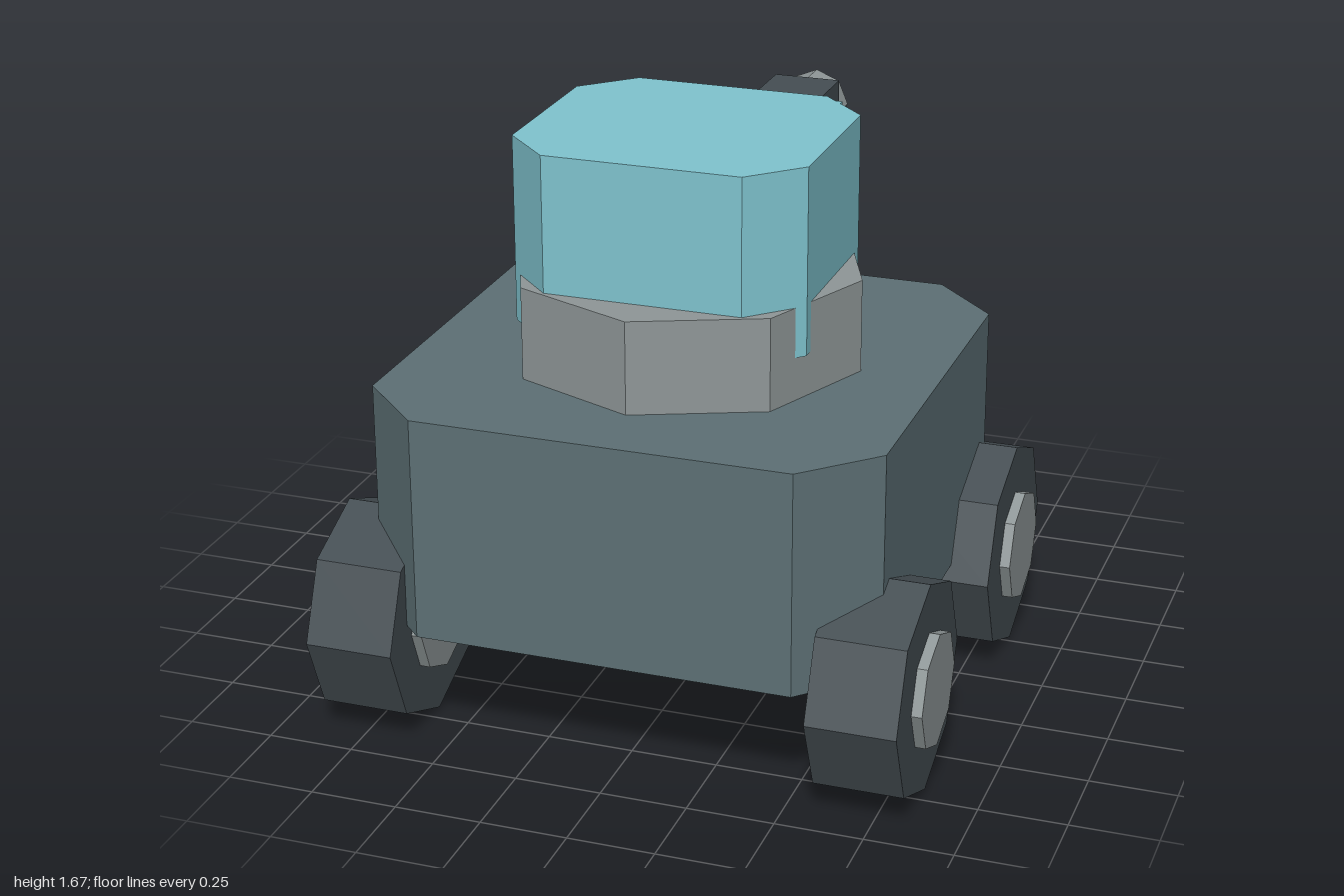
import * as THREE from 'three';

const mat = (name, color) => {
  const m = new THREE.MeshStandardMaterial({ color, flatShading: true });
  m.name = name;
  return m;
};

export function createModel() {
  const model = new THREE.Group();
  model.name = 'turretVehicle';
  const slate = mat('slate', 0x5d7075);
  const charcoal = mat('charcoal', 0x454e53);
  const grey = mat('grey', 0x8f9798);
  const blue = mat('paleBlue', 0x80c4cf);

  const add = (name, geometry, material, parent = model) => {
    const mesh = new THREE.Mesh(geometry, material);
    mesh.name = name;
    parent.add(mesh);
    return mesh;
  };

  // Box given by its lower and upper limits
  const box = (name, material, [x0, x1], [y0, y1], [z0, z1]) =>
    add(name, new THREE.BoxGeometry(x1 - x0, y1 - y0, z1 - z0), material)
      .position.set((x0 + x1) / 2, (y0 + y1) / 2, (z0 + z1) / 2);

  // Upright block with cut corners
  const cutBlock = (name, material, [x0, x1], [y0, y1], [z0, z1], cut) => {
    const shape = new THREE.Shape([
      [x0 + cut, -z1], [x1 - cut, -z1], [x1, -z1 + cut], [x1, -z0 - cut],
      [x1 - cut, -z0], [x0 + cut, -z0], [x0, -z0 - cut], [x0, -z1 + cut],
    ].map(([x, y]) => new THREE.Vector2(x, y)));
    const g = new THREE.ExtrudeGeometry(shape, { depth: y1 - y0, bevelEnabled: false });
    g.rotateX(-Math.PI / 2);
    g.translate(0, y0, 0);
    add(name, g, material);
  };

  const octagon = (radius, length) => new THREE.CylinderGeometry(radius, radius, length, 8);

  // Hull and rear plate
  cutBlock('hull', slate, [-0.755, 0.72], [0.36, 1.01], [-0.535, 0.94], 0.195);
  box('rearPlate', blue, [-0.57, 0.535], [0.475, 0.84], [-0.63, -0.52]);

  // Turret: ring, and head sunk into it
  add('turretRing', octagon(0.51, 0.27), grey).position.set(-0.02, 1.145, 0.205);
  cutBlock('turretHead', blue, [-0.445, 0.405], [1.135, 1.675], [-0.18, 0.585], 0.14);
  box('turretPeg', blue, [0.29, 0.32], [1.565, 1.675], [-0.145, -0.115]);

  // Gun
  box('barrel', charcoal, [-0.12, 0.085], [1.29, 1.5], [-0.9, -0.1]);
  const muzzle = add('muzzle', octagon(0.102, 0.12), grey);
  muzzle.rotation.x = Math.PI / 2;
  muzzle.position.set(-0.018, 1.395, -0.94);

  // Wheels: every hub cap faces +x
  for (const x of [-0.7425, 0.7075]) {
    for (const z of [0.69, -0.275]) {
      const wheel = new THREE.Group();
      wheel.name = (x > 0 ? 'left' : 'right') + (z > 0 ? 'Front' : 'Back') + 'Wheel';
      wheel.position.set(x, 0.315, z);
      const tyre = add('tyre', octagon(0.312, 0.255), charcoal, wheel);
      const hub = add('hub', octagon(0.168, 0.06), grey, wheel);
      tyre.rotation.z = hub.rotation.z = Math.PI / 2;
      hub.position.x = 0.1275;
      model.add(wheel);
    }
  }
  return model;
}
